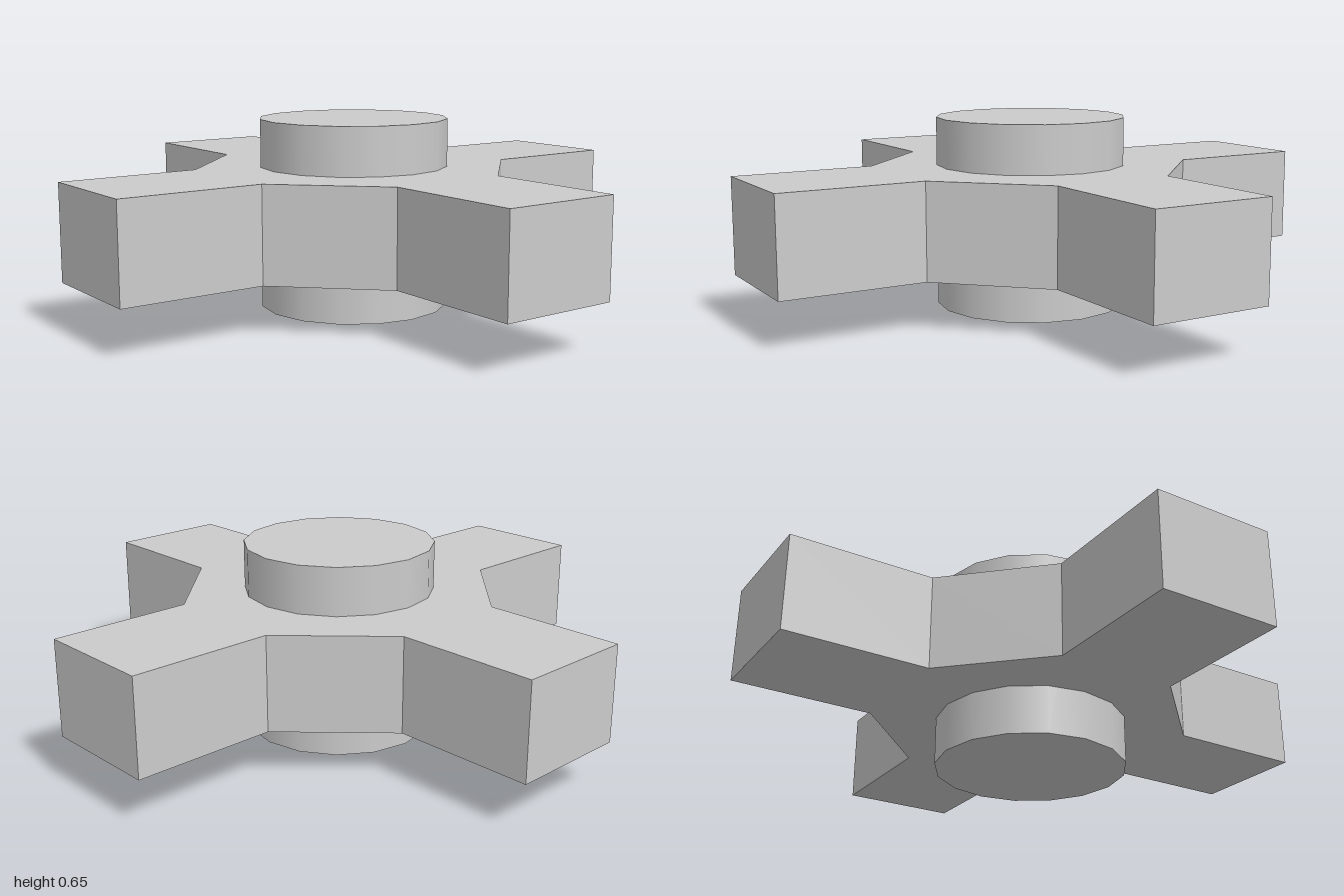
import * as THREE from 'three';

export function createModel() {
  const model = new THREE.Group();
  model.name = 'crossHub';
  const material = new THREE.MeshStandardMaterial({ color: 0xcccccc });

  // Four-armed plate with chamfered inner corners
  const halfWidth = 0.21, chamfer = 0.51, reach = 1;
  const armOutline = [
    [chamfer, -halfWidth], [reach, -halfWidth], [reach, halfWidth], [chamfer, halfWidth],
  ];
  const outline = [];
  for (let i = 0; i < 4; i++) {
    for (const [x, y] of armOutline) {
      outline.push(new THREE.Vector2(x, y).rotateAround(new THREE.Vector2(), i * Math.PI / 2));
    }
  }
  const plateGeometry = new THREE.ExtrudeGeometry(new THREE.Shape(outline), {
    depth: 0.325, bevelEnabled: false,
  });
  plateGeometry.rotateX(-Math.PI / 2).translate(0, 0.165, 0);
  const plate = new THREE.Mesh(plateGeometry, material);
  plate.name = 'crossPlate';
  model.add(plate);

  // Round hub standing proud above and below the plate
  const height = 0.655;
  const hub = new THREE.Mesh(new THREE.CylinderGeometry(0.328, 0.328, height, 16), material);
  hub.name = 'hub';
  hub.position.y = height / 2;
  model.add(hub);

  return model;
}
